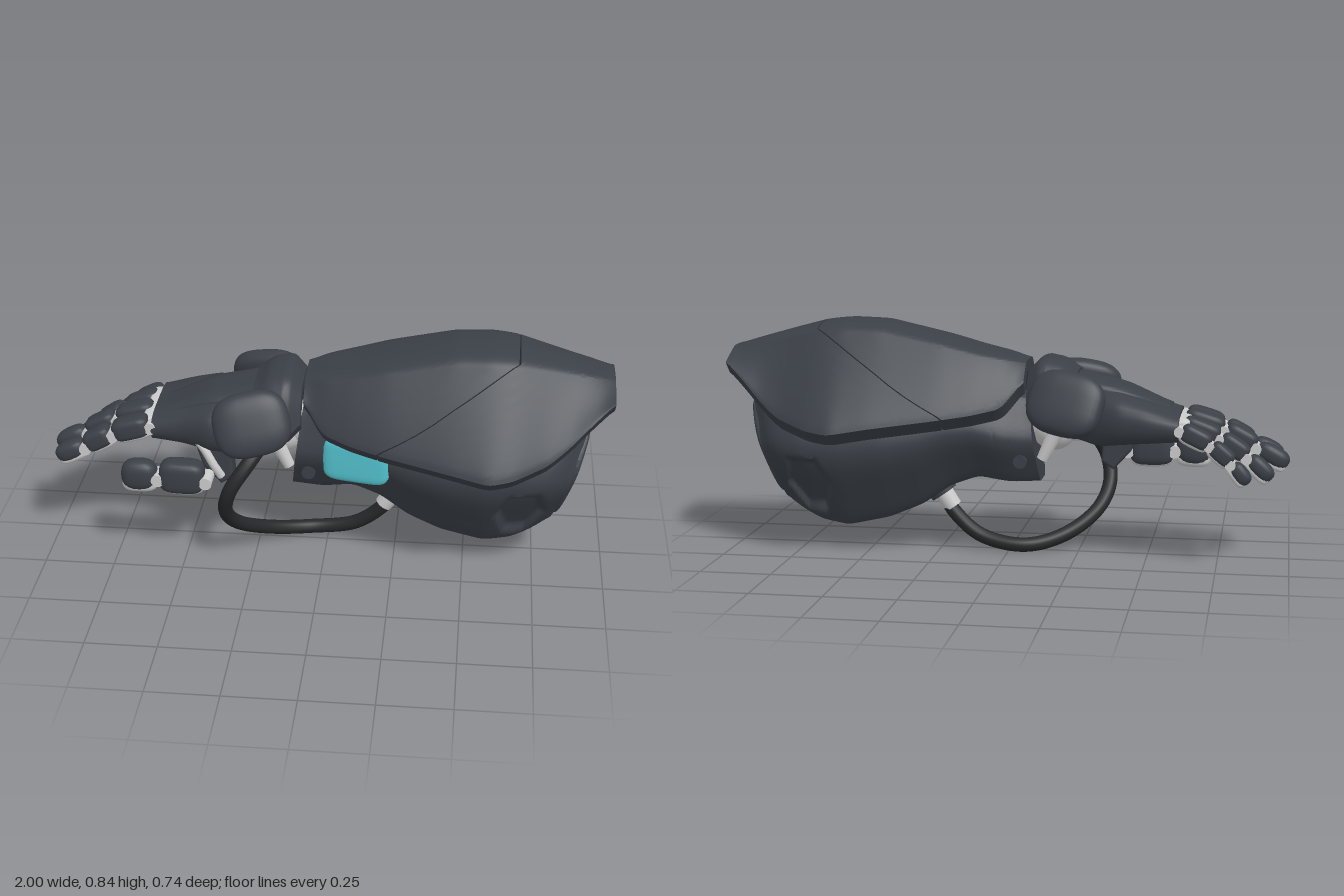
import * as THREE from 'three';
import { toCreasedNormals } from 'three/addons/utils/BufferGeometryUtils.js';

const dark = new THREE.MeshStandardMaterial({ color: 0x3b4047 });
const black = new THREE.MeshStandardMaterial({ color: 0x25272a });
const grey = new THREE.MeshStandardMaterial({ color: 0xcccccc });
const cyan = new THREE.MeshStandardMaterial({ color: 0x55c5d2 });

const V = (x, y, z = 0) => new THREE.Vector3(x, y, z);
const { lerp, smoothstep, clamp } = THREE.MathUtils;

function add(parent, name, geometry, material, x = 0, y = 0, z = 0) {
  const m = new THREE.Mesh(geometry, material);
  m.name = name;
  m.position.set(x, y, z);
  parent.add(m);
  return m;
}

// Reads a table of rows [x, top, bottom, halfWidth, zCentre, roundness], softened at its corners
function lookUp(table, x) {
  const read = (q) => {
    let i = 0;
    while (i < table.length - 2 && q > table[i + 1][0]) i++;
    const a = table[i], b = table[i + 1];
    const k = clamp((q - a[0]) / (b[0] - a[0]), 0, 1);
    return [1, 2, 3, 4, 5].map((c) => lerp(a[c] ?? (c === 5 ? 1 : 0), b[c] ?? (c === 5 ? 1 : 0), k));
  };
  const p = read(x - 0.02), q = read(x), r = read(x + 0.02);
  return q.map((v, i) => (p[i] + 2 * v + r[i]) / 4);
}

// Half outline (top to bottom) mirrored into a closed ring
function closedProfile(points, n = 24) {
  const half = new THREE.CatmullRomCurve3(points.map(([z, y]) => V(z, y)), false, 'centripetal').getSpacedPoints(n);
  const right = half.map((p) => [p.x, p.y, 0, 0]);
  return [...right, ...right.map(([z, y]) => [-z, y, 0, 0]).reverse()];
}

// Half arch mirrored, then returned along an inner face to give it thickness
function archProfile(points, thick, n = 22) {
  const half = new THREE.CatmullRomCurve3(points.map(([z, y]) => V(z, y)), false, 'centripetal').getPoints(n);
  const outer = [...half.map((p) => [-p.x, p.y, 0, 0]).reverse(), ...half.slice(1).map((p) => [p.x, p.y, 0, 0])];
  const inner = outer.map(([z, y]) => [z, y, -thick * Math.sign(z) * Math.sqrt(Math.abs(z)), -thick]).reverse();
  return [...outer, ...inner];
}

// Skins a profile along x; the ends may vary with the distance from the centre line
function loft(table, profile, { start, end, steps = 50, warp, crease = 0.6 } = {}) {
  const n = profile.length, pos = [], idx = [];
  start ??= () => table[0][0];
  end ??= () => table[table.length - 1][0];
  for (let j = 0; j <= steps; j++) {
    for (const [pz, py, dz, dy] of profile) {
      const a = Math.abs(pz), x = lerp(start(a), end(a), j / steps);
      const [top, bottom, w, zc, round] = lookUp(table, x);
      const z = Math.sign(pz) * Math.pow(a, round) * w + dz;
      const p = V(x, lerp(bottom, top, py) + dy, z + zc);
      if (warp) warp(p);
      pos.push(p.x, p.y, p.z);
    }
  }
  for (let j = 0; j < steps; j++) {
    for (let i = 0; i < n; i++) {
      const a = j * n + i, b = j * n + (i + 1) % n;
      idx.push(a, b, a + n, b, b + n, a + n);
    }
  }
  const e = steps * n;
  for (let i = 0; i < n / 2 - 1; i++) {
    const p = i, q = i + 1, r = n - 1 - i, s = n - 2 - i;
    idx.push(p, r, q, q, r, s, e + p, e + q, e + r, e + q, e + s, e + r);
  }
  const g = new THREE.BufferGeometry();
  g.setAttribute('position', new THREE.Float32BufferAttribute(pos, 3));
  g.setIndex(idx);
  return toCreasedNormals(g, crease);
}

// Squared-off ellipsoid
function pillow(sx, sy, sz, power = 0.6, detail = 20) {
  const g = new THREE.SphereGeometry(1, detail, detail * 0.7 | 0);
  const p = g.attributes.position, f = (v) => Math.sign(v) * Math.pow(Math.abs(v), power);
  for (let i = 0; i < p.count; i++) p.setXYZ(i, sx * f(p.getX(i)), sy * f(p.getY(i)), sz * f(p.getZ(i)));
  g.computeVertexNormals();
  return g;
}

// Symmetric outline with softened corners
function mirrored(pts) {
  const ring = [...pts, ...pts.filter(([z]) => z > 0).map(([z, y]) => [-z, y]).reverse()];
  const curve = new THREE.CatmullRomCurve3(ring.map(([z, y]) => V(z, y)), true, 'centripetal');
  return new THREE.Shape(curve.getPoints(48).slice(0, -1).map((p) => new THREE.Vector2(p.x, p.y)));
}

// Plated finger: grey core, dark back plates, grey hinge pins
function finger(parent, name, x, y, z, r, lengths, angles, tall = 1) {
  const f = new THREE.Group();
  f.name = name;
  lengths.forEach((len, i) => {
    const s = new THREE.Group(), k = 1 - 0.07 * i, tip = i === lengths.length - 1;
    s.name = name + 'Segment';
    s.position.set(x, y, z);
    s.rotation.z = angles[i];
    add(s, 'fingerCore', pillow(len * 0.48, r * 0.72 * k * tall, r * 0.76 * k), grey, -len / 2, -r * 0.28, 0);
    add(s, 'fingerPlate', pillow(len * 0.48, r * 0.9 * k * tall, r * k, tip ? 0.75 : 0.55), dark, -len * 0.51, r * 0.12, 0);
    add(s, 'hinge', new THREE.CylinderGeometry(r * 0.5, r * 0.5, r * 1.6, 16).rotateX(Math.PI / 2), grey, 0, -r * 0.1, 0);
    f.add(s);
    x -= Math.cos(angles[i]) * len;
    y -= Math.sin(angles[i]) * len;
  });
  parent.add(f);
}

export function createModel() {
  const model = new THREE.Group();
  model.name = 'roboticForearm';

  // Forearm body: sloped ends, a sunken six-sided panel on each side, a slot either side of the keel
  const bodyRows = [[-0.1, 0.58, 0.27, 0.13], [0, 0.6, 0.265, 0.155], [0.1, 0.64, 0.285, 0.185], [0.2, 0.66, 0.25, 0.205],
    [0.3, 0.67, 0.18, 0.225], [0.42, 0.68, 0.13, 0.245], [0.57, 0.685, 0.097, 0.255], [0.72, 0.685, 0.115, 0.255],
    [0.79, 0.67, 0.135, 0.24], [0.84, 0.63, 0.16, 0.215], [0.875, 0.575, 0.19, 0.18]];
  const bodyShape = closedProfile([[0, 1], [0.42, 0.98], [0.55, 0.94], [0.82, 0.72], [0.96, 0.58], [1, 0.5], [0.97, 0.41], [0.7, 0.18], [0.45, 0.01], [0.36, 0], [0, 0]], 80);
  const shapeBody = (p) => {
    const back = smoothstep(p.x, 0.55, 0.86), front = 1 - smoothstep(p.x, -0.1, 0.12);
    const dx = Math.abs(p.x - 0.72), dy = Math.abs(p.y - 0.255), side = Math.sign(p.z), z = Math.abs(p.z);
    const hex = Math.max(dy / 0.11, (dx + dy * 0.5) / 0.12);
    const sink = z > 0.1 ? 0.027 * (1 - smoothstep(hex, 0.7, 1)) : 0;
    const slot = p.y < 0.25 ? 0.02 * (1 - smoothstep(Math.abs(z - 0.075), 0.003, 0.014)) * smoothstep(p.x, 0.6, 0.68) : 0;
    p.z -= side * sink * 0.85;
    p.y += sink * 0.5 + slot;
    p.x += (0.3 * back + 0.13 * front) * (p.y - 0.42);
  };
  add(model, 'forearmBody', loft(bodyRows, bodyShape, { steps: 120, warp: shapeBody, crease: 0.9 }), dark);

  // Elbow end: raised frame around a domed plate
  const elbow = new THREE.Group();
  elbow.name = 'elbowCap';
  const frame = mirrored([[0, 0.128], [0.09, 0.12], [0.125, 0.085], [0.162, 0.0], [0.145, -0.09], [0.085, -0.2], [0, -0.215]]);
  const plate = [[0, 0.085], [0.075, 0.078], [0.105, 0.055], [0.13, -0.005], [0.118, -0.08], [0.07, -0.185], [0, -0.195]];
  frame.holes.push(mirrored(plate));
  const bevel = { bevelEnabled: true, bevelSize: 0.012, bevelThickness: 0.012, bevelSegments: 4 };
  add(elbow, 'elbowFrame', new THREE.ExtrudeGeometry(frame, { depth: 0.008, ...bevel }), dark);
  add(elbow, 'elbowPlate', new THREE.ExtrudeGeometry(mirrored(plate), { depth: 0.002, ...bevel, bevelSize: 0.022, bevelOffset: -0.03, bevelThickness: 0.016 }), dark);
  elbow.position.set(0.87, 0.42, 0);
  elbow.rotation.set(0, Math.PI / 2, 0);
  elbow.rotateX(0.29);
  model.add(elbow);

  // Upper armour shell in two plates divided by an angled seam
  const shellRows = [[-0.07, 0.7, 0.64, 0.14, 0, 0.6], [0, 0.722, 0.55, 0.21, 0, 0.6], [0.1, 0.745, 0.53, 0.255, 0, 0.65], [0.22, 0.78, 0.515, 0.295, 0, 0.75],
    [0.45, 0.835, 0.488, 0.35, 0, 0.95], [0.58, 0.84, 0.468, 0.375], [0.66, 0.832, 0.477, 0.355], [0.78, 0.8, 0.51, 0.29],
    [0.85, 0.78, 0.56, 0.25], [0.92, 0.76, 0.625, 0.21], [1, 0.735, 0.69, 0.16]];
  const shellShape = archProfile([[0, 1], [0.25, 0.975], [0.36, 0.93], [0.42, 0.86], [0.72, 0.45], [0.97, 0.07], [1, 0]], 0.042);
  const seam = (a) => (a < 0.36 ? 0.67 : 0.67 - (a - 0.36) * 0.74);
  add(model, 'frontShell', loft(shellRows, shellShape, { end: (a) => seam(a) - 0.003 }), dark);
  add(model, 'rearShell', loft(shellRows, shellShape, { start: (a) => seam(a) + 0.003 }), dark);

  // Light on the thumb side, pivot bolts on both sides
  const light = add(model, 'sideLight', pillow(0.12, 0.08, 0.03, 0.4), cyan, 0.12, 0.432, 0.17);
  light.rotation.y = -0.2;
  for (const s of [1, -1]) {
    add(model, 'pivotBolt', new THREE.CylinderGeometry(0.024, 0.024, 0.02, 24).rotateX(Math.PI / 2), dark, -0.055, 0.35, s * 0.122);
  }

  // Wrist joint
  add(model, 'wristCore', new THREE.CylinderGeometry(0.07, 0.07, 0.28, 24).rotateZ(Math.PI / 2), grey, -0.2, 0.48, 0);
  add(model, 'wristBall', new THREE.SphereGeometry(0.085, 24, 16), grey, -0.16, 0.46, 0);
  for (const s of [1, -1]) {
    const strut = add(model, 'wristStrut', new THREE.CylinderGeometry(0.032, 0.02, 0.17, 16), grey, -0.165, 0.43, s * 0.085);
    strut.rotation.z = 0.45;
  }

  // Wrist cuff: arched band with a rounded guard leaning in on each side
  const cuffRows = [[-0.25, 0.665, 0.5, 0.175, 0, 0.6], [-0.2, 0.705, 0.5, 0.2, 0, 0.6], [-0.12, 0.72, 0.52, 0.2, 0, 0.6], [-0.08, 0.665, 0.56, 0.15, 0, 0.6]];
  add(model, 'cuffBand', loft(cuffRows, archProfile([[0, 1], [0.4, 0.93], [0.75, 0.6], [1, 0]], 0.035, 12), { steps: 20 }), dark);
  for (const s of [1, -1]) {
    const guard = add(model, 'cuffGuard', pillow(0.135, 0.115, 0.05, 0.72, 32), dark, -0.235 + s * -0.01, 0.572, s * 0.2);
    guard.rotation.set(-s * 0.42, s * 0.12, 0.25);
  }

  // Palm with raised back plate and knuckle bar
  const palmShape = closedProfile([[0, 1], [0.6, 0.98], [0.92, 0.8], [1, 0.5], [0.9, 0.15], [0.6, 0], [0, 0]]);
  const palmRows = [[-0.615, 0.535, 0.44, 0.175, -0.045], [-0.5, 0.575, 0.43, 0.185, -0.035], [-0.4, 0.605, 0.42, 0.2, -0.01],
    [-0.33, 0.61, 0.41, 0.18, 0], [-0.25, 0.585, 0.43, 0.12, 0]];
  add(model, 'palm', loft(palmRows, palmShape, { steps: 24 }), dark);
  add(model, 'handBackPlate', loft([[-0.58, 0.55, 0.52, 0.08], [-0.42, 0.62, 0.56, 0.11], [-0.22, 0.665, 0.58, 0.12]], palmShape, { steps: 12 }), dark);
  add(model, 'knuckleBar', pillow(0.03, 0.032, 0.14, 0.4), grey, -0.625, 0.492, -0.04);

  // Thumb mount hanging below the palm
  const mount = new THREE.Shape([[-0.46, 0.5], [-0.42, 0.37], [-0.365, 0.31], [-0.335, 0.33], [-0.34, 0.4], [-0.29, 0.5]].map(([x, y]) => new THREE.Vector2(x, y)));
  add(model, 'thumbMount', new THREE.ExtrudeGeometry(mount, { depth: 0.06, ...bevel }), dark, 0, 0, 0.07);
  const brace = new THREE.CatmullRomCurve3([V(-0.49, 0.5, 0.125), V(-0.43, 0.45, 0.15), V(-0.39, 0.38, 0.155), V(-0.365, 0.33, 0.145)]);
  add(model, 'thumbBrace', new THREE.TubeGeometry(brace, 20, 0.015, 10), grey);

  // Fingers, little to index, then the thumb
  finger(model, 'littleFinger', -0.62, 0.49, -0.2, 0.036, [0.115, 0.095, 0.09], [0.45, 0.7, 0.9]);
  finger(model, 'ringFinger', -0.62, 0.5, -0.12, 0.04, [0.14, 0.115, 0.115], [0.35, 0.58, 0.75]);
  finger(model, 'middleFinger', -0.62, 0.505, -0.012, 0.044, [0.15, 0.125, 0.13], [0.28, 0.48, 0.5]);
  finger(model, 'indexFinger', -0.62, 0.5, 0.095, 0.044, [0.145, 0.115, 0.12], [0.28, 0.5, 0.45]);
  finger(model, 'thumb', -0.41, 0.347, 0.198, 0.046, [0.17, 0.135], [-0.02, 0.03], 1.48);

  // Hose looping from the forearm underside to the wrist, with its connector
  const hose = new THREE.CatmullRomCurve3([V(0.24, 0.2, -0.01), V(0.2, 0.14, -0.02), V(0.1, 0.06, -0.035), V(-0.06, 0.03, -0.04), V(-0.2, 0.06, 0.03),
    V(-0.31, 0.14, 0.14), V(-0.342, 0.23, 0.215), V(-0.32, 0.33, 0.25), V(-0.26, 0.42, 0.22), V(-0.2, 0.49, 0.14)]);
  add(model, 'hose', new THREE.TubeGeometry(hose, 90, 0.026, 14), black);
  const plug = add(model, 'hoseConnector', new THREE.CylinderGeometry(0.035, 0.032, 0.07, 20), grey, 0.225, 0.185, -0.013);
  plug.rotation.z = -0.6;
  const collar = add(model, 'hoseCollar', new THREE.CylinderGeometry(0.055, 0.05, 0.04, 20), dark, 0.25, 0.222, -0.012);
  collar.rotation.z = -0.6;
  return model;
}
